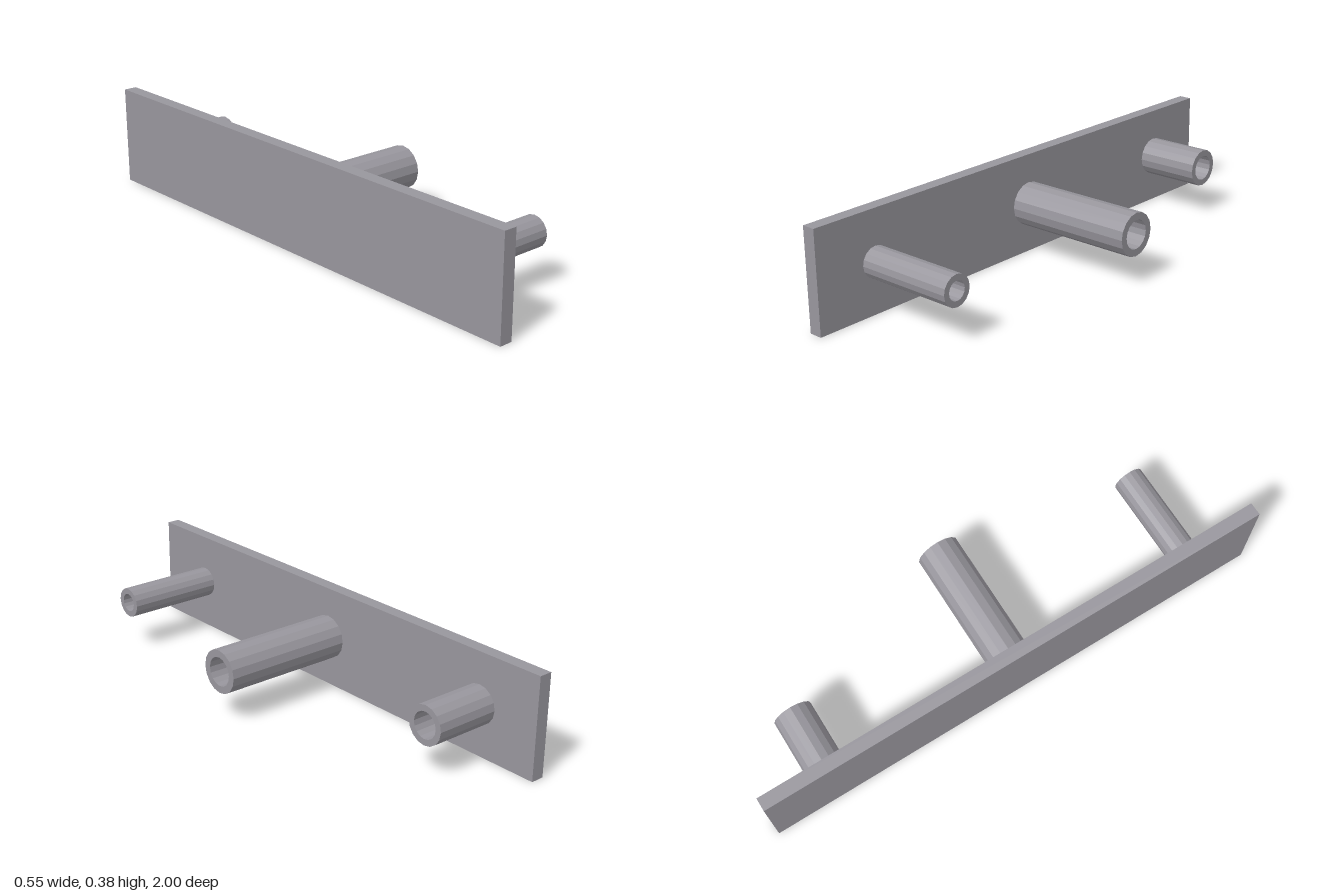
import * as THREE from 'three';

export function createModel() {
  const model = new THREE.Group();
  const steel = new THREE.MeshStandardMaterial({ color: 0x98969d, flatShading: true });
  steel.name = 'grey steel';

  const height = 0.375;
  const backX = -0.276;
  const faceX = -0.226;

  // Upright mounting plate
  const plate = new THREE.Mesh(new THREE.BoxGeometry(faceX - backX, height, 2), steel);
  plate.name = 'mountingPlate';
  plate.position.set((backX + faceX) / 2, height / 2, 0);
  model.add(plate);

  // Hollow 16-sided peg standing out from the plate, open at its tip
  function addTube(name, z, outer, inner, tipX) {
    const length = tipX - faceX;
    const profile = [
      [outer, 0], [outer, length], [inner, length], [inner, 0],
    ].map(([r, y]) => new THREE.Vector2(r, y));
    const tube = new THREE.Mesh(new THREE.LatheGeometry(profile, 16), steel);
    tube.name = name;
    tube.rotation.z = -Math.PI / 2;
    tube.position.set(faceX, height / 2, z);
    model.add(tube);
  }

  addTube('frontTube', 0.75, 0.057, 0.035, 0.149);
  addTube('middleTube', 0, 0.081, 0.054, 0.276);
  addTube('rearTube', -0.75, 0.072, 0.049, 0.023);

  return model;
}
